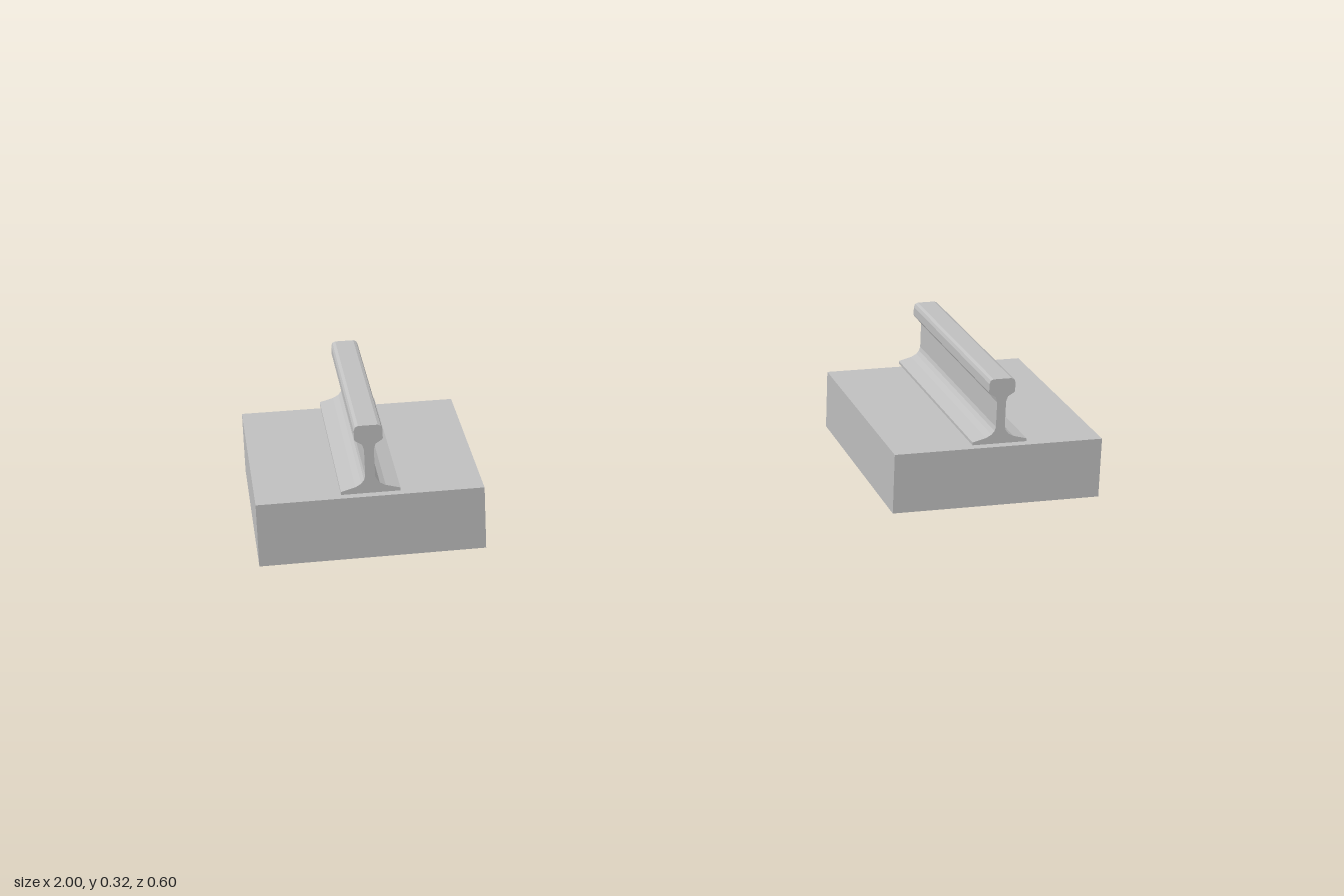
import * as THREE from 'three';

const LENGTH = 0.595;       // along z
const BLOCK_WIDTH = 0.515;
const BLOCK_HEIGHT = 0.149;
const TRACK_X = 1 - BLOCK_WIDTH / 2;

// Right half of the rail section, from foot to head
const HALF_PROFILE = [
  [0.067, 0.158], [0.067, 0.165], [0.034, 0.174], [0.021, 0.181],
  [0.014, 0.19], [0.011, 0.2], [0.011, 0.262], [0.015, 0.275],
  [0.03, 0.284], [0.032, 0.288], [0.032, 0.309], [0.029, 0.317], [0.022, 0.32],
];

// Hollow block without an underside
function openBlockGeometry() {
  const geo = new THREE.BoxGeometry(BLOCK_WIDTH, BLOCK_HEIGHT, LENGTH);
  const index = Array.from(geo.index.array);
  index.splice(18, 6); // drop the -y face
  geo.setIndex(index);
  geo.clearGroups();
  return geo.translate(0, BLOCK_HEIGHT / 2, 0);
}

// Symmetric rail section swept along z
function railGeometry() {
  const mirrored = HALF_PROFILE.map(([x, y]) => [-x, y]).reverse();
  const points = [...HALF_PROFILE, ...mirrored].map(([x, y]) => new THREE.Vector2(x, y));
  const geo = new THREE.ExtrudeGeometry(new THREE.Shape(points), {
    depth: LENGTH, bevelEnabled: false,
  });
  return geo.translate(0, 0, -LENGTH / 2);
}

export function createModel() {
  const group = new THREE.Group();
  group.name = 'railTrack';

  const grey = new THREE.MeshStandardMaterial({ color: 0xc0c0c0, side: THREE.DoubleSide });
  grey.name = 'plain grey';

  const block = openBlockGeometry();
  const rail = railGeometry();
  // Bearing plate lying almost flush in the block top
  const plate = new THREE.PlaneGeometry(0.366, 0.21)
    .rotateX(-Math.PI / 2).translate(0, BLOCK_HEIGHT + 0.001, 0);

  for (const [side, sign] of [['left', 1], ['right', -1]]) {
    const half = new THREE.Group();
    half.name = side + 'Support';
    half.position.x = sign * TRACK_X;
    for (const [name, geo] of [['Block', block], ['BearingPlate', plate], ['Rail', rail]]) {
      const mesh = new THREE.Mesh(geo, grey);
      mesh.name = side + name;
      half.add(mesh);
    }
    group.add(half);
  }
  return group;
}
